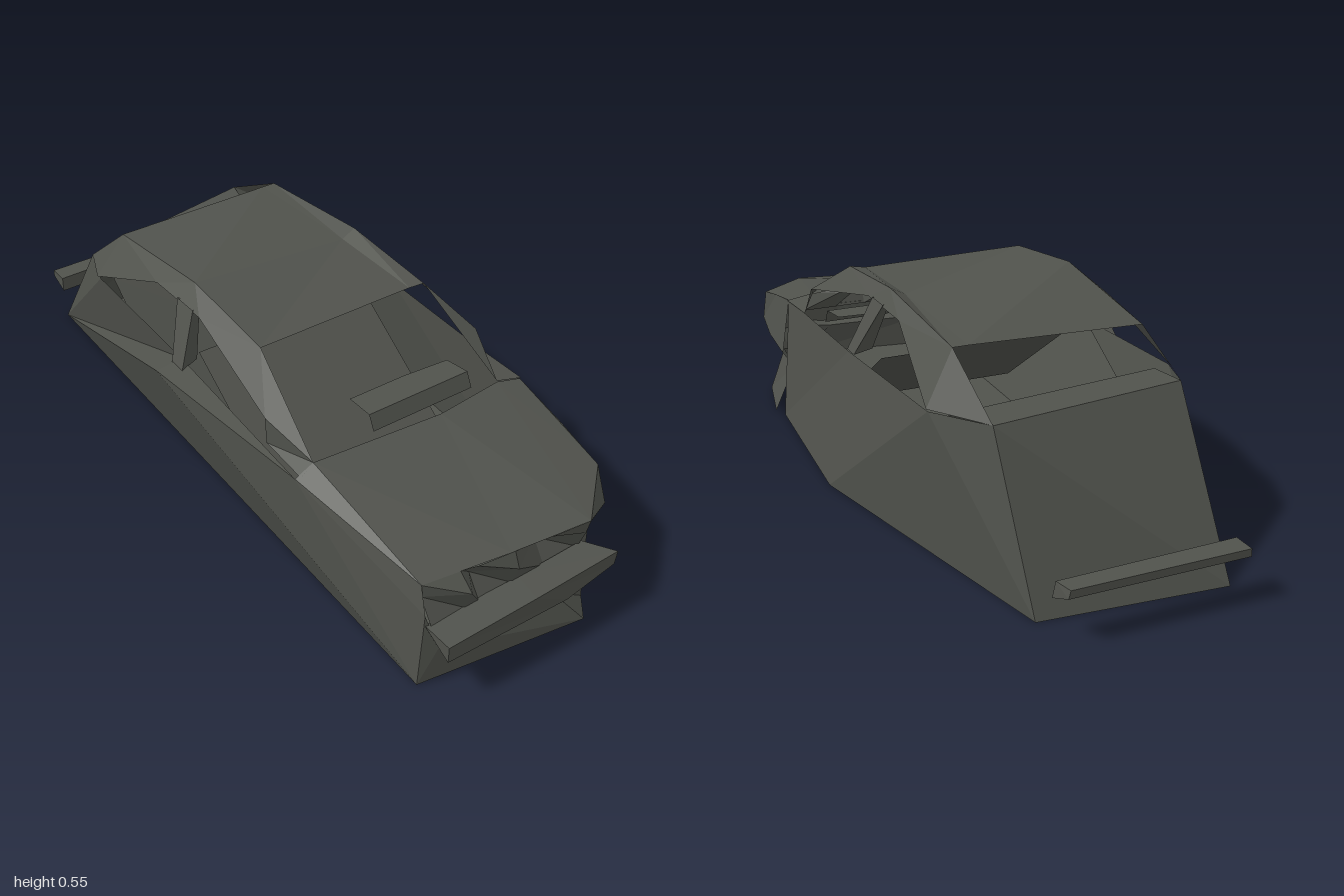
import * as THREE from 'three';

const paint = new THREE.MeshStandardMaterial({ color: 0x50524c, flatShading: true, side: THREE.DoubleSide });
paint.name = 'dark grey';

export function createModel() {
  const car = new THREE.Group();
  car.name = 'carBody';

  function add(name, triangles) {
    const geometry = new THREE.BufferGeometry();
    geometry.setAttribute('position', new THREE.Float32BufferAttribute(triangles.flat(2), 3));
    geometry.computeVertexNormals();
    const mesh = new THREE.Mesh(geometry, paint);
    mesh.name = name;
    car.add(mesh);
  }
  // Flat or folded polygon, fanned from its first corner
  function panel(name, points) {
    const tris = [];
    for (let i = 1; i < points.length - 1; i++) tris.push([points[0], points[i], points[i + 1]]);
    add(name, tris);
  }
  // Faceted skin stretched over rows with equal point counts
  function loft(name, rows) {
    const tris = [];
    for (let r = 0; r < rows.length - 1; r++) {
      for (let i = 0; i < rows[r].length - 1; i++) {
        const a = rows[r][i], b = rows[r][i + 1], c = rows[r + 1][i + 1], d = rows[r + 1][i];
        tris.push([a, d, c], [a, c, b]);
      }
    }
    add(name, tris);
  }

  // Underside
  panel('floor', [
    [-0.25, 0, -0.93], [0.23, 0, -0.89], [0.41, 0, -0.04], [0.37, 0, 0.48],
    [0.24, 0, 0.72], [0.2, 0, 0.91], [0.15, 0, 0.97], [-0.31, 0, 0.9],
  ]);

  // Right side: outer skin flares out at the belt, leaving a valley beside the inner skin
  const tailCorner = [-0.25, 0, -0.93];
  const noseCorner = [-0.31, 0, 0.9];
  const beltTip = [-0.41, 0.36, -0.06];
  const beltInner = [-0.335, 0.37, -0.06];
  panel('rightSide', [noseCorner, tailCorner, beltTip, [-0.355, 0.345, 0.48], [-0.29, 0.2, 0.89]]);
  panel('rightInnerSkin', [tailCorner, [-0.29, 0.39, -0.62], [-0.33, 0.385, -0.5], beltInner]);
  panel('rightBeltLedge', [beltTip, tailCorner, beltInner, [-0.355, 0.345, 0.48]]);

  // Left side
  loft('leftSide', [
    [[0.25, 0.4, -0.71], [0.33, 0.38, -0.53], [0.345, 0.367, -0.04], [0.34, 0.355, 0.34], [0.34, 0.35, 0.49]],
    [[0.23, 0, -0.89], [0.23, 0, -0.89], [0.41, 0, -0.04], [0.37, 0, 0.48], [0.37, 0, 0.48]],
  ]);

  // Front fenders, the left one with an undercut, a flared lower edge and a notch
  panel('rightFender', [[-0.355, 0.345, 0.48], [-0.31, 0.38, 0.49], [-0.28, 0.265, 0.86], [-0.29, 0.2, 0.89]]);
  loft('leftFender', [
    [[0.34, 0.35, 0.49], [0.33, 0.32, 0.65], [0.32, 0.285, 0.8]],
    [[0.365, 0.19, 0.49], [0.35, 0.19, 0.67], [0.32, 0.19, 0.84]],
    [[0.33, 0.14, 0.5], [0.31, 0.14, 0.66], [0.27, 0.14, 0.84]],
    [[0.385, 0, 0.52], [0.345, 0.005, 0.7], [0.25, 0.09, 0.79]],
  ]);
  panel('leftFenderBack', [[0.25, 0.09, 0.79], [0.345, 0.005, 0.7], [0.24, 0, 0.72]]);

  // Hood
  loft('hood', [
    [[-0.31, 0.38, 0.49], [0.06, 0.372, 0.51], [0.27, 0.362, 0.48], [0.34, 0.35, 0.49]],
    [[-0.28, 0.265, 0.86], [-0.05, 0.27, 0.9], [0.17, 0.275, 0.93], [0.32, 0.285, 0.8]],
  ]);

  // Nose: creased grille recess, bumper and chin
  const grilleX = [-0.28, -0.18, -0.14, -0.04, 0.06, 0.17];
  loft('grille', [
    grilleX.map((x, i) => [x, 0.265 + i * 0.002, 0.86 + i * 0.014]),
    grilleX.map((x, i) => [x, 0.23, i % 2 ? 0.92 : 0.86]),
    grilleX.map((x) => [x, 0.172, 0.9]),
  ]);
  loft('leftCorner', [
    [[0.17, 0.275, 0.93], [0.32, 0.285, 0.8]],
    [[0.18, 0.2, 0.89], [0.32, 0.19, 0.84]],
    [[0.2, 0.125, 0.9], [0.27, 0.14, 0.84]],
  ]);
  const bumper = [
    [[-0.29, 0.172, 0.89], [-0.02, 0.18, 0.9], [0.18, 0.185, 0.9]],
    [[-0.285, 0.165, 0.97], [-0.03, 0.175, 0.975], [0.235, 0.175, 0.97]],
    [[-0.285, 0.12, 0.97], [0.08, 0.105, 0.97], [0.235, 0.13, 0.965]],
    [[-0.26, 0.098, 0.91], [0.07, 0.1, 0.93], [0.2, 0.125, 0.9]],
  ];
  loft('bumper', bumper);
  panel('bumperRightEnd', bumper.map((row) => row[0]));
  panel('bumperLeftEnd', bumper.map((row) => row[2]));
  loft('chin', [
    [[-0.29, 0.2, 0.89], [-0.26, 0.098, 0.91], [0.07, 0.1, 0.93], [0.2, 0.125, 0.9], [0.27, 0.14, 0.84]],
    [noseCorner, noseCorner, [0.15, 0, 0.97], [0.2, 0, 0.91], [0.25, 0.09, 0.79]],
  ]);
  panel('chinCorner', [[0.25, 0.09, 0.79], [0.2, 0, 0.91], [0.24, 0, 0.72]]);

  // Roof
  loft('roof', [
    [[-0.26, 0.52, 0.2], [0.21, 0.515, 0.19], [0.25, 0.52, 0.2]],
    [[-0.26, 0.552, -0.1], [0.21, 0.522, -0.1], [0.25, 0.543, -0.1]],
    [[-0.25, 0.5, -0.5], [0.21, 0.51, -0.49], [0.25, 0.51, -0.49]],
  ]);

  // Window frames and centre pillars
  for (const s of [-1, 1]) {
    const side = s > 0 ? 'left' : 'right';
    const out = s > 0 ? 0 : 0.02;
    const ridge = s > 0 ? [0.25, 0.543, -0.1] : [-0.26, 0.552, -0.1];
    const rear = s > 0 ? [0.25, 0.51, -0.49] : [-0.25, 0.5, -0.5];
    const base = s > 0 ? [0.25, 0.4, -0.71] : [-0.29, 0.39, -0.62];
    const cowl = s > 0 ? [0.27, 0.365, 0.48] : [-0.31, 0.38, 0.49];
    loft(side + 'WindowFrame', [
      [cowl, [(s > 0 ? 0.25 : 0.26) * s, 0.52, 0.2], ridge, rear, base],
      [[0.34 * s, 0.355, 0.34], [(0.32 + out) * s, 0.425, 0.335], [(0.28 + out) * s, 0.503, -0.02],
        [(0.28 + out) * s, 0.5, -0.23], [0.33 * s, 0.382, -0.52]],
    ]);
    panel(side + 'CowlCorner', [cowl, [0.34 * s, 0.355, 0.34], [0.345 * s, 0.35, 0.49]]);
    const foot = 0.34 + out, head = 0.28 + out;
    loft(side + 'CentrePillar', [
      [[foot * s, 0.365, -0.015], [foot * s, 0.365, -0.065], [(foot - 0.06) * s, 0.365, -0.04], [foot * s, 0.365, -0.015]],
      [[head * s, 0.508, -0.05], [head * s, 0.508, -0.125], [(head - 0.04) * s, 0.51, -0.08], [head * s, 0.508, -0.05]],
    ]);
  }

  // Tail, rear shelf and the separate bar behind it
  panel('tail', [[0.25, 0.4, -0.71], [0.23, 0, -0.89], tailCorner, [-0.29, 0.39, -0.62]]);
  panel('rearShelf', [[-0.29, 0.39, -0.62], [-0.29, 0.38, -0.5], [0.22, 0.385, -0.57], [0.25, 0.4, -0.71]]);
  const bar = [
    [[-0.25, 0.13, -0.94], [0.215, 0.13, -0.95]],
    [[-0.25, 0.13, -1], [0.205, 0.13, -1]],
    [[-0.25, 0.11, -1], [0.21, 0.11, -1]],
    [[-0.25, 0.085, -0.94], [0.22, 0.088, -0.945]],
    [[-0.25, 0.13, -0.94], [0.215, 0.13, -0.95]],
  ];
  loft('rearBar', bar);
  for (const end of [0, 1]) panel('rearBarEnd', bar.slice(0, 4).map((row) => row[end]));

  // Cabin: sloping rear and front seats, dashboard
  panel('rearSeat', [[-0.29, 0.37, -0.5], [0.29, 0.37, -0.55], [0.29, 0.02, -0.15], [-0.27, 0.02, -0.15]]);
  panel('frontSeats', [[-0.27, 0.35, -0.08], [0.27, 0.35, -0.08], [0.27, 0.1, 0.28], [-0.27, 0.1, 0.28]]);
  loft('dashboard', [
    [[-0.06, 0.34, 0.3], [0.11, 0.34, 0.3], [0.25, 0.34, 0.31]],
    [[-0.06, 0.34, 0.38], [0.11, 0.34, 0.38], [0.26, 0.34, 0.38]],
    [[-0.06, 0.3, 0.4], [0.1, 0.3, 0.4], [0.26, 0.3, 0.4]],
  ]);
  return car;
}
